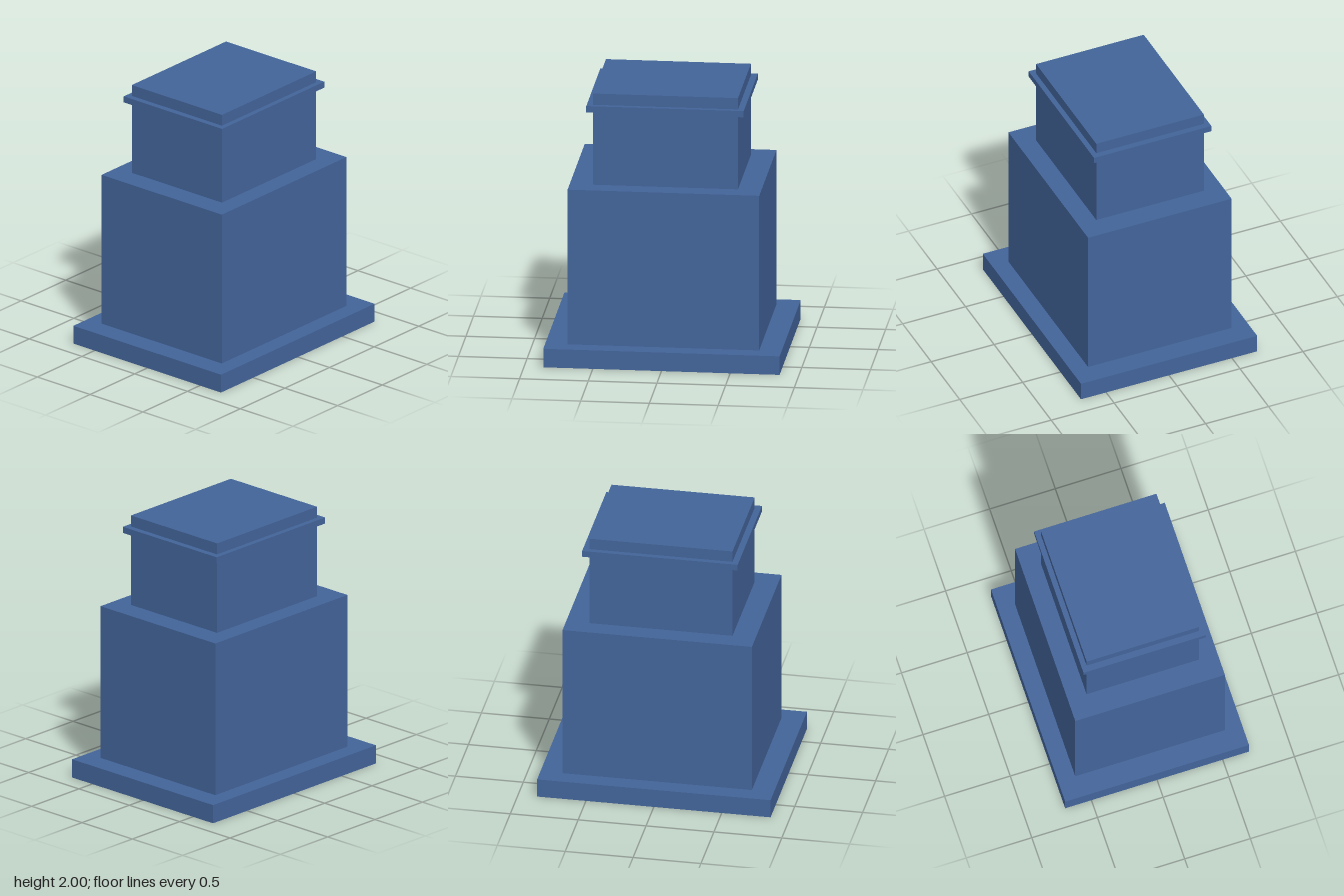
import * as THREE from 'three';

export function createModel() {
  const model = new THREE.Group();
  model.name = 'steppedPedestal';

  const blue = new THREE.MeshStandardMaterial({ color: 0x43649a });
  blue.name = 'slate blue';

  // Stacked blocks: name, width, depth, bottom, top
  const tiers = [
    ['basePlinth', 1.72, 1.4, 0, 0.14],
    ['mainBody', 1.395, 1.14, 0.14, 1.31],
    ['upperNeck', 1.055, 0.855, 1.31, 1.868],
    ['collar', 1.146, 0.932, 1.868, 1.915],
    ['topCap', 1.055, 0.855, 1.915, 2],
  ];

  for (const [name, width, depth, bottom, top] of tiers) {
    const block = new THREE.Mesh(new THREE.BoxGeometry(width, top - bottom, depth), blue);
    block.name = name;
    block.position.y = (bottom + top) / 2;
    model.add(block);
  }

  return model;
}
